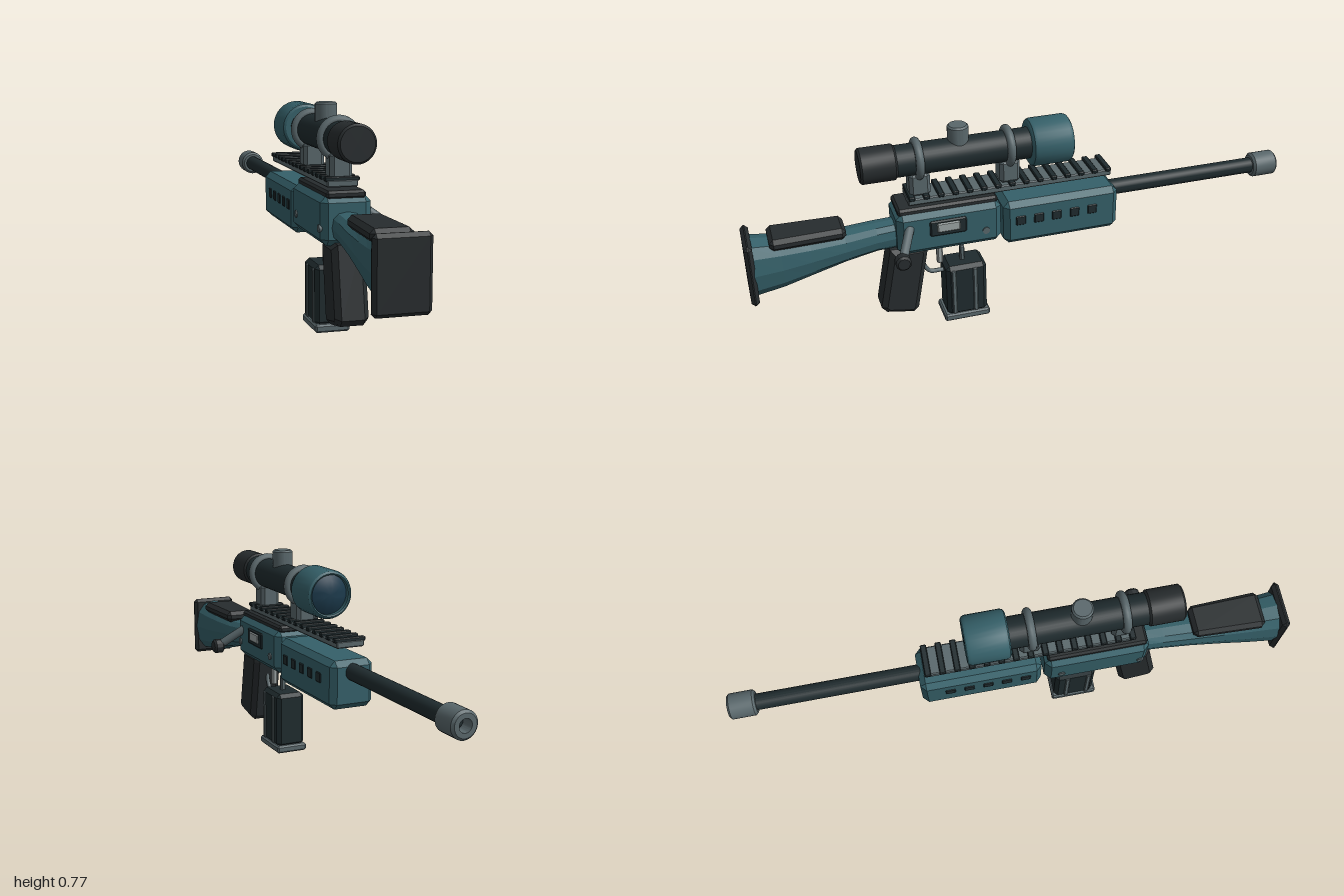
import * as THREE from 'three';
import { toCreasedNormals } from 'three/addons/utils/BufferGeometryUtils.js';
import { ConvexGeometry } from 'three/addons/geometries/ConvexGeometry.js';

const mat = (color, flatShading = false) =>
  new THREE.MeshStandardMaterial({ color, flatShading });
const TEAL = mat(0x356069), DARK = mat(0x272c2e), STEEL = mat(0x1f2b2e);
const GREY = mat(0x59676b), LIGHT = mat(0x9aa3a3), LENS = mat(0x1c3a4c);
const TEAL_FLAT = mat(0x356069, true);

export function createModel() {
  const model = new THREE.Group();
  model.name = 'rifle';
  const body = new THREE.Group();
  body.name = 'body';
  body.position.x = -0.051;
  model.add(body);

  const add = (name, geometry, material) => {
    const mesh = new THREE.Mesh(geometry, material);
    mesh.name = name;
    body.add(mesh);
    return mesh;
  };

  // Box with chamfered edges, given by its y and z ranges
  const chamferBox = (name, material, w, [y0, y1], [z0, z1], c, x = 0) => {
    const a = w / 2, b = (y1 - y0) / 2, d = (z1 - z0) / 2;
    const points = [];
    for (const i of [-1, 1]) for (const j of [-1, 1]) for (const k of [-1, 1]) {
      points.push(
        new THREE.Vector3(i * a, j * (b - c), k * (d - c)),
        new THREE.Vector3(i * (a - c), j * b, k * (d - c)),
        new THREE.Vector3(i * (a - c), j * (b - c), k * d));
    }
    const mesh = add(name, new ConvexGeometry(points), material);
    mesh.position.set(x, (y0 + y1) / 2, (z0 + z1) / 2);
    return mesh;
  };

  // Turned part along z; the profile is [radius, z] with z rising outside
  const turned = (name, material, profile, y, segments = 32) => {
    const lathe = new THREE.LatheGeometry(profile.map(p => new THREE.Vector2(...p)), segments);
    lathe.rotateX(Math.PI / 2);
    const mesh = add(name, toCreasedNormals(lathe, 0.5), material);
    mesh.position.y = y;
    return mesh;
  };
  const rod = (r, z0, z1, c) =>
    [[0, z0], [r - c, z0], [r, z0 + c], [r, z1 - c], [r - c, z1], [0, z1]];

  // Side outline of [z, y] points, extruded across x with a bevel
  const sidePlate = (name, material, outline, width, bevel) => {
    const shape = new THREE.Shape(outline.map(p => new THREE.Vector2(...p)));
    const geo = new THREE.ExtrudeGeometry(shape, {
      depth: width - 2 * bevel, bevelEnabled: true, bevelSegments: 1,
      bevelThickness: bevel, bevelSize: bevel, bevelOffset: -bevel });
    geo.translate(0, 0, bevel - width / 2).rotateY(-Math.PI / 2);
    return add(name, geo, material);
  };

  // Barrel and hollow muzzle
  turned('barrel', STEEL, rod(0.029, -0.93, -0.3, 0.003), 0.428, 24);
  turned('muzzle', GREY, [[0, -0.94], [0.022, -0.94], [0.022, -1], [0.038, -1], [0.046, -0.992],
    [0.046, -0.91], [0.038, -0.902], [0, -0.902]], 0.428, 24);
  turned('muzzleBore', STEEL, rod(0.0215, -0.955, -0.935, 0.001), 0.428, 24);

  // Handguard with vent slots on both sides
  chamferBox('handguard', TEAL, 0.16, [0.3, 0.468], [-0.332, 0.1], 0.02);
  for (const side of [-1, 1]) for (let i = 0; i < 5; i++) {
    const z = 0.04 - i * 0.0675;
    chamferBox('ventSlot', STEEL, 0.012, [0.377, 0.415], [z - 0.019, z + 0.019], 0.004, side * 0.077);
  }

  // Receiver, top strip, ejection port and pins
  chamferBox('receiver', TEAL, 0.168, [0.325, 0.487], [0.11, 0.485], 0.022);
  chamferBox('receiverTop', DARK, 0.132, [0.475, 0.502], [0.12, 0.477], 0.008);
  chamferBox('ejectionPort', STEEL, 0.02, [0.393, 0.453], [0.24, 0.372], 0.005, 0.081);
  chamferBox('portBolt', LIGHT, 0.016, [0.408, 0.444], [0.265, 0.347], 0.004, 0.087);
  for (const side of [-1, 1]) for (const z of [0.17, 0.457]) {
    const pin = add('receiverPin', new THREE.CylinderGeometry(0.013, 0.013, 0.01, 12), GREY);
    pin.rotation.z = Math.PI / 2;
    pin.position.set(side * 0.083, 0.382, z);
  }

  // Bolt handle with knob
  const handlePath = new THREE.LineCurve3(
    new THREE.Vector3(0.075, 0.435, 0.44), new THREE.Vector3(0.165, 0.367, 0.487));
  add('boltHandle', new THREE.TubeGeometry(handlePath, 1, 0.016, 12), GREY);
  const knob = turned('boltKnob', DARK, rod(0.028, -0.02, 0.02, 0.007), 0.364, 12);
  knob.rotation.y = Math.PI / 2;
  knob.position.set(0.169, 0.364, 0.488);

  // Stock: faceted loft of [z, top, bottom, half width] sections
  const sections = [[0.47, 0.437, 0.335, 0.05], [0.55, 0.433, 0.333, 0.054], [0.66, 0.425, 0.312, 0.058],
    [0.78, 0.43, 0.28, 0.065], [0.88, 0.44, 0.253, 0.073], [0.98, 0.452, 0.237, 0.082]];
  const stock = new THREE.CylinderGeometry(1, 1, 1, 12, sections.length - 1).rotateX(Math.PI / 2);
  const p = stock.attributes.position;
  const squarer = v => Math.sign(v) * Math.abs(v) ** 0.8;
  for (let i = 0; i < p.count; i++) {
    const [z, top, bottom, half] = sections[Math.round((p.getZ(i) + 0.5) * (sections.length - 1))];
    p.setXYZ(i, squarer(p.getX(i)) * half,
      (top + bottom) / 2 + squarer(p.getY(i)) * (top - bottom) / 2, z);
  }
  add('stock', stock, TEAL_FLAT);
  chamferBox('buttPlate', DARK, 0.177, [0.226, 0.461], [0.972, 1], 0.012);

  // Cheek rest widening to the rear
  const rest = chamferBox('cheekRest', DARK, 0.124, [0.416, 0.459], [0.655, 0.915], 0.014);
  const rp = rest.geometry.attributes.position;
  for (let i = 0; i < rp.count; i++) rp.setX(i, rp.getX(i) * (1 + rp.getZ(i) * 0.6));

  // Grip
  sidePlate('grip', DARK, [[0.508, 0.335], [0.378, 0.335], [0.376, 0.305], [0.418, 0.078],
    [0.436, 0.06], [0.535, 0.078], [0.554, 0.1]], 0.112, 0.018);

  // Trigger, guard and magazine catch
  const guardPath = new THREE.CatmullRomCurve3([[0.27], [0.225], [0.198], [0.195], [0.195]].map(([y], i) =>
    new THREE.Vector3(0, y, [0.396, 0.382, 0.362, 0.33, 0.295][i])));
  add('triggerGuard', new THREE.TubeGeometry(guardPath, 16, 0.008, 8), GREY);
  chamferBox('trigger', LIGHT, 0.022, [0.228, 0.302], [0.313, 0.335], 0.005);
  chamferBox('magazineCatch', GREY, 0.02, [0.215, 0.285], [0.233, 0.25], 0.004);

  // Magazine with ribs and floor plate
  chamferBox('magazine', STEEL, 0.112, [0.02, 0.228], [0.163, 0.313], 0.014);
  for (const side of [-1, 1]) for (const z of [0.287, 0.208])
    chamferBox('magazineRib', GREY, 0.012, [0.03, 0.215], [z - 0.008, z + 0.008], 0.003, side * 0.055);
  chamferBox('magazineFloor', GREY, 0.12, [0, 0.028], [0.155, 0.325], 0.006);

  // Top rail with teeth
  chamferBox('rail', GREY, 0.104, [0.507, 0.531], [-0.31, 0.435], 0.004);
  for (let i = 0; i < 15; i++) {
    const z = 0.422 - i * 0.0514;
    chamferBox('railTooth', STEEL, 0.116, [0.526, 0.541], [z - 0.011, z + 0.011], 0.003);
  }

  // Scope body, eyepiece, objective and lens
  const axis = 0.66;
  turned('scopeTube', STEEL, rod(0.056, -0.03, 0.48, 0.003), axis);
  turned('eyepiece', DARK, rod(0.063, 0.463, 0.59, 0.007), axis);
  turned('objective', TEAL, [[0, -0.135], [0.07, -0.135], [0.07, -0.157], [0.075, -0.16], [0.082, -0.155],
    [0.086, -0.145], [0.086, -0.025], [0.082, -0.015], [0.074, -0.01], [0, -0.01]], axis);
  turned('lens', LENS, [[0, -0.16], [0.025, -0.158], [0.048, -0.152], [0.07, -0.14], [0, -0.13]], axis);

  // Turret
  const turret = turned('turret', GREY, rod(0.037, -0.04, 0.04, 0.006), axis, 24);
  turret.rotation.x = -Math.PI / 2;
  turret.position.set(0, 0.727, 0.24);

  // Scope rings and their mounts
  for (const z of [0.387, 0.064]) {
    add('scopeRing', new THREE.TorusGeometry(0.06, 0.015, 10, 32), GREY).position.set(0, axis, z);
    chamferBox('ringMount', GREY, 0.074, [0.528, 0.618], [z - 0.037, z + 0.037], 0.012);
  }
  return model;
}
